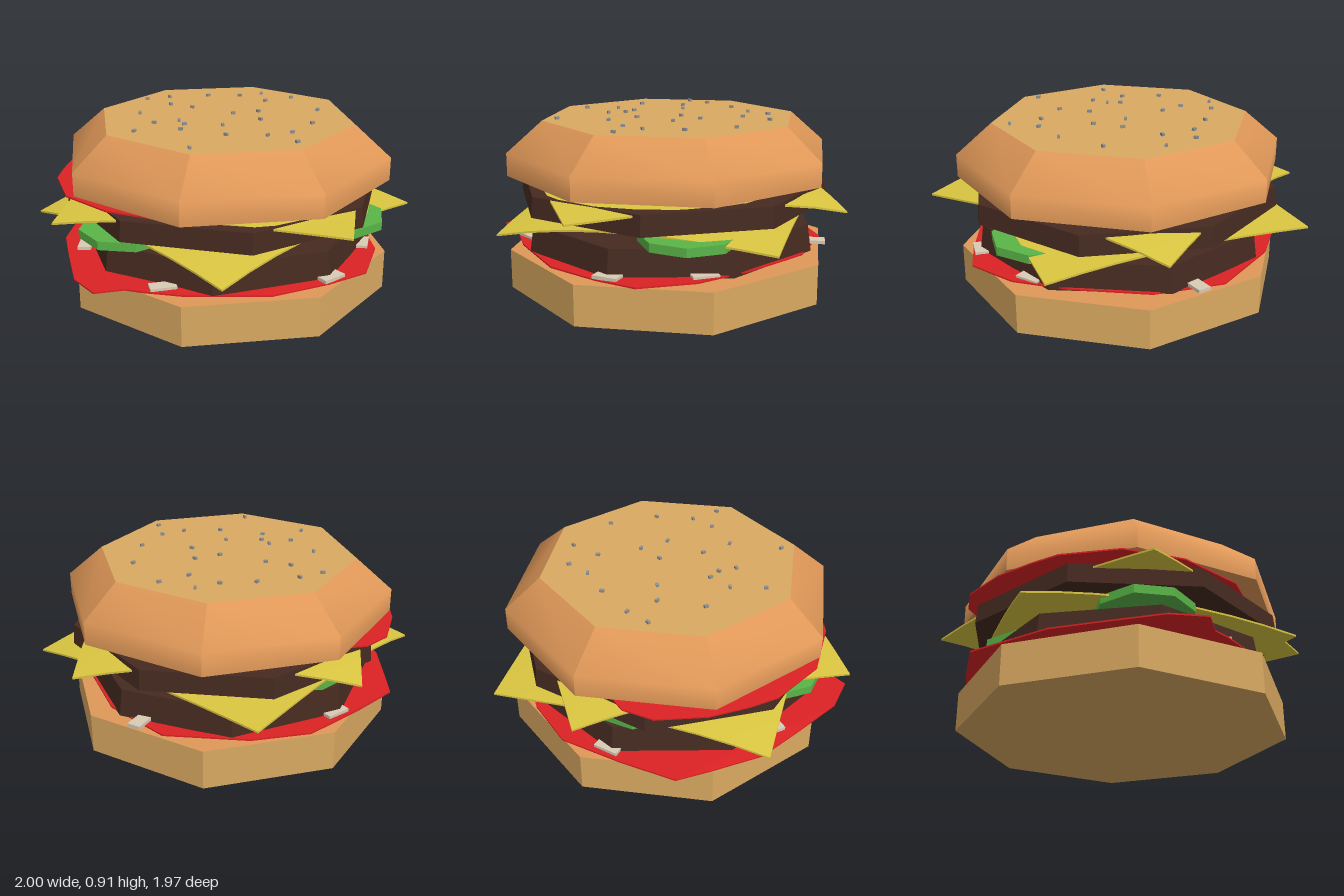
import * as THREE from 'three';
import { mergeGeometries } from 'three/addons/utils/BufferGeometryUtils.js';

const CZ = 0.025; // common centre of the stack in z
const mat = (name, color) => {
  const m = new THREE.MeshStandardMaterial({ color });
  m.name = name;
  return m;
};

export function createModel() {
  const crumb = mat('crumb tan', 0xdaa961);
  const crust = mat('crust orange', 0xe09858);
  const meat = mat('meat brown', 0x452a20);
  const yellow = mat('cheese yellow', 0xd8c440);
  const red = mat('sauce red', 0xdc2224);
  const green = mat('pickle green', 0x5ab548);
  const pale = mat('onion cream', 0xd9cbb4);
  const grey = mat('seed grey', 0x8f9090);

  const burger = new THREE.Group();
  burger.name = 'burger';
  const add = (name, geo, material, x = 0, y = 0, z = 0, ry = 0) => {
    const mesh = new THREE.Mesh(geo, material);
    mesh.name = name;
    mesh.position.set(x, y, z);
    mesh.rotation.y = ry;
    burger.add(mesh);
    return mesh;
  };

  // faceted eight-sided slab between two heights
  const slab = (rTop, rBottom, y0, y1) => {
    const g = new THREE.CylinderGeometry(rTop, rBottom, y1 - y0, 8).translate(0, (y0 + y1) / 2, 0).toNonIndexed();
    g.computeVertexNormals();
    return g;
  };

  // bottom bun: tan side and base, crust-coloured upper face
  const turn = Math.PI / 8, rBun = 0.871;
  add('bottomBun', slab(rBun, rBun, 0, 0.21), [crumb, crust, crumb], 0.003, 0, CZ, turn);

  // top bun: eight sides, each smooth over its bevel, with a flat cap
  const profile = [[rBun, 0.61], [rBun, 0.73], [0.682, 0.893]].map(p => new THREE.Vector2(...p));
  const sides = [];
  for (let i = 0; i < 8; i++) {
    const g = new THREE.LatheGeometry(profile, 1, turn + i * Math.PI / 4, Math.PI / 4);
    g.computeVertexNormals();
    sides.push(g);
  }
  add('topBunCrust', mergeGeometries(sides), crust, 0.003, 0, CZ);
  add('topBunCap', new THREE.CircleGeometry(0.682, 8, turn).rotateX(-Math.PI / 2), crumb, 0.003, 0.893, CZ);
  add('topBunUnderside', new THREE.CircleGeometry(rBun, 8, turn).rotateX(Math.PI / 2), crust, 0.003, 0.61, CZ);

  // patties
  add('lowerPatty', slab(0.765, 0.785, 0.235, 0.375), meat, 0.003, 0, CZ, -0.23);
  add('upperPatty', slab(0.83, 0.84, 0.465, 0.57), meat, 0, 0, CZ);

  // pickle slices
  for (const [x, z] of [[0.55, 0.31], [-0.54, 0.31], [-0.28, -0.4]])
    add('pickleSlice', slab(0.25, 0.25, 0.38, 0.425), green, x, 0, z, 0.1);

  // cheese: square sheet fitted to four corners [x, y, z], its rim drooping towards them
  const cheese = (name, centreY, corners) => {
    const n = 8;
    const g = new THREE.BoxGeometry(1, 0.01, 1, n, 1, n);
    const p = g.attributes.position;
    for (let i = 0; i < p.count; i++) {
      const u = p.getX(i) + 0.5, v = p.getZ(i) + 0.5;
      const w = [(1 - u) * (1 - v), u * (1 - v), u * v, (1 - u) * v];
      const at = k => w.reduce((s, wi, j) => s + wi * corners[j][k], 0);
      const x = at(0), z = at(2);
      const t = Math.max(0, (Math.hypot(x, z) - 0.58) / 0.42);
      p.setXYZ(i, x, p.getY(i) + centreY - (centreY - at(1)) * Math.pow(t, 1.25), z);
    }
    g.computeVertexNormals();
    add(name, g, yellow);
  };
  cheese('lowerCheese', 0.447, [[-1, 0.355, -0.13], [0.13, 0.41, -0.99], [1, 0.39, 0.14], [-0.16, 0.355, 0.98]]);
  cheese('upperCheese', 0.585, [[-0.42, 0.485, -0.86], [0.89, 0.48, -0.41], [0.45, 0.545, 0.93], [-0.91, 0.52, 0.47]]);

  // thin red sheets with an uneven outline and a slight ripple
  const sheet = (name, y, outline, ripple) => {
    const shape = new THREE.Shape(outline.map(p => new THREE.Vector2(...p)));
    const g = new THREE.ExtrudeGeometry(shape, { depth: 0.008, bevelEnabled: false }).rotateX(Math.PI / 2);
    const p = g.attributes.position;
    for (let i = 0; i < p.count; i++) {
      const a = Math.atan2(p.getZ(i), p.getX(i));
      p.setY(i, p.getY(i) + ripple * Math.sin(a * 3 + 1) + ripple * 1.4 * p.getX(i));
    }
    g.computeVertexNormals();
    add(name, g, red, 0, y, 0);
  };
  sheet('lowerSauce', 0.237, [
    [0.76, 0.1], [0.74, 0.4], [0.61, 0.66], [0.4, 0.74], [0.1, 0.82], [-0.3, 0.77], [-0.5, 0.7],
    [-0.58, 0.66], [-0.73, 0.67], [-0.82, 0.5], [-0.85, 0.2], [-0.87, -0.05], [-0.8, -0.32],
    [-0.75, -0.5], [-0.5, -0.65], [-0.2, -0.8], [0.1, -0.78], [0.5, -0.62], [0.7, -0.3]], 0.007);
  sheet('upperSauce', 0.6, [
    [0.6, 0.1], [0.54, 0.4], [0.3, 0.66], [0, 0.76], [-0.35, 0.73], [-0.65, 0.55], [-0.84, 0.3],
    [-0.89, 0], [-0.86, -0.15], [-0.8, -0.35], [-0.67, -0.57], [-0.53, -0.65], [-0.2, -0.63],
    [0.2, -0.55], [0.5, -0.28]], 0.005);

  // onion bits
  const bit = new THREE.BoxGeometry(0.13, 0.018, 0.07);
  const bits = [
    [0.42, 0.245, 0.69, 0.5], [0.69, 0.25, 0.32, 1.2], [-0.4, 0.243, 0.67, 0.1], [-0.76, 0.243, 0.1, 1.4],
    [0.58, 0.25, -0.49, 0.8], [-0.38, 0.243, -0.64, 0.4], [-0.35, 0.602, 0.62, 0.2], [0.2, 0.602, -0.45, 0.9]];
  for (const [x, y, z, ry] of bits) add('onionBit', bit, pale, x, y, z, ry);

  // seeds on the cap
  const seed = new THREE.BoxGeometry(0.022, 0.016, 0.014);
  const seeds = [
    [-0.38, -0.39], [-0.25, -0.42], [-0.03, -0.42], [0.15, -0.39], [0.28, -0.42], [0.43, -0.3], [-0.26, -0.25],
    [0.27, -0.25], [-0.15, -0.17], [-0.44, -0.09], [0.05, -0.01], [0.19, -0.03], [0.51, -0.01], [-0.38, 0.11],
    [-0.25, 0.09], [-0.23, 0.16], [0.17, 0.13], [-0.49, 0.25], [-0.26, 0.25], [-0.04, 0.21], [0.42, 0.24],
    [-0.05, 0.38], [0.15, 0.42], [0.28, 0.39], [-0.25, 0.57], [0.27, 0.55]];
  seeds.forEach(([x, z], i) => add('seed', seed, grey, x, 0.899, z, i * 1.9));

  return burger;
}
